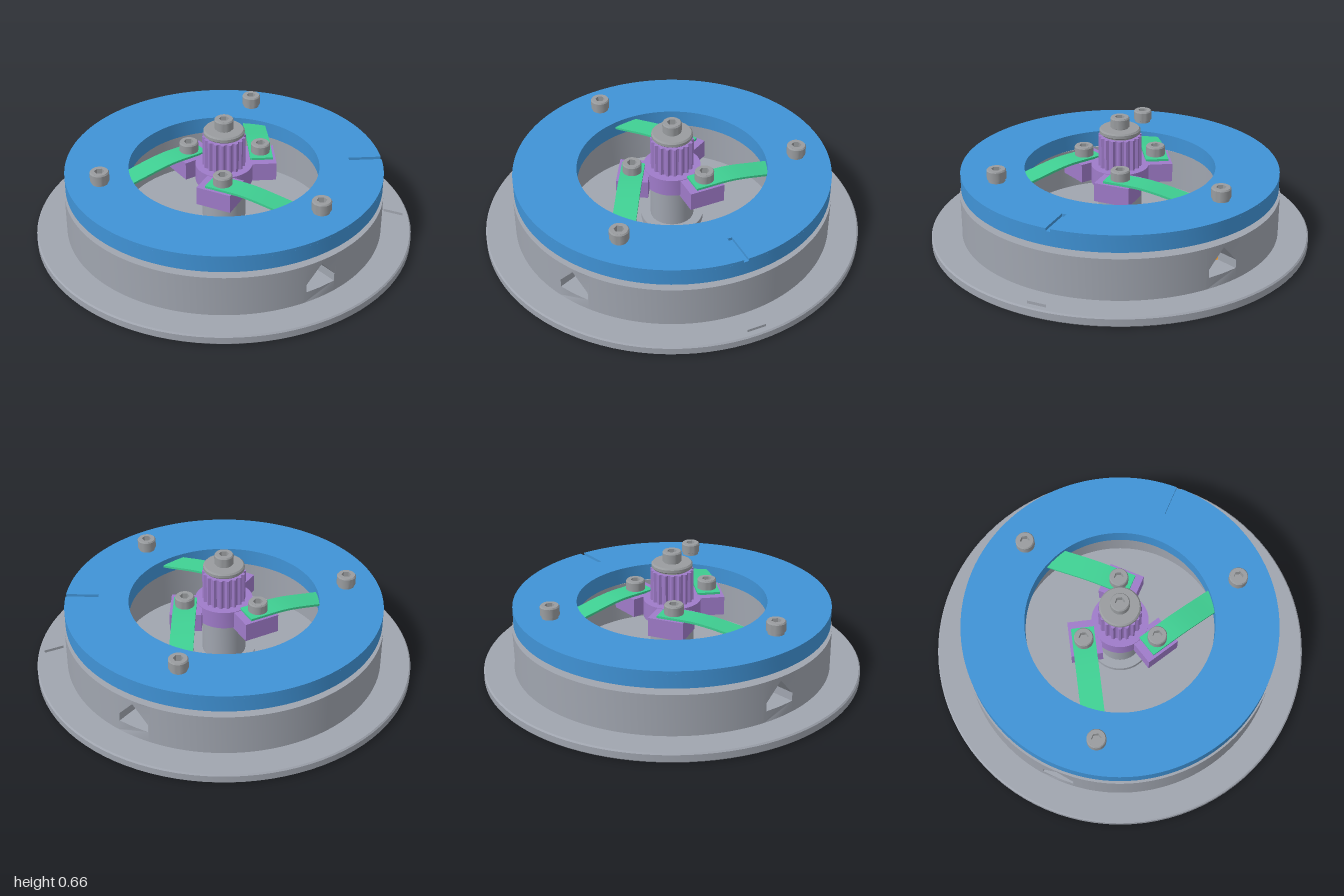
import * as THREE from 'three';
import { toCreasedNormals } from 'three/addons/utils/BufferGeometryUtils.js';

const paint = (name, color) => Object.assign(new THREE.MeshStandardMaterial({ color }), { name });
const TAU = Math.PI * 2;

export function createModel() {
  const model = new THREE.Group();
  model.name = 'springRingAssembly';
  const grey = paint('housing grey', 0xa0a5af);
  const steel = paint('steel grey', 0x999c9f);
  const blue = paint('ring blue', 0x4093d6);
  const purple = paint('hub purple', 0x9f7bc9);
  const green = paint('spring green', 0x3fcf92);
  const orange = paint('coil orange', 0xe8962c);

  const add = (name, geo, mat, parent = model) => {
    const mesh = new THREE.Mesh(geo, mat);
    mesh.name = name;
    parent.add(mesh);
    return mesh;
  };
  // Solid turned from [radius, y] pairs listed bottom to top
  const turned = (pts, sides = 64) =>
    toCreasedNormals(new THREE.LatheGeometry(pts.map(p => new THREE.Vector2(...p)), sides), 0.5);
  // Plan outline raised from y0 to y1
  const raised = (shape, y0, y1, curveSegments = 64) => {
    const g = new THREE.ExtrudeGeometry(shape, { depth: y1 - y0, bevelEnabled: false, curveSegments });
    return toCreasedNormals(g.rotateX(-Math.PI / 2).translate(0, y0, 0), 0.5);
  };
  const circle = r => new THREE.Shape().absarc(0, 0, r, 0, TAU, false);
  const hole = r => new THREE.Path().absarc(0, 0, r, 0, TAU, true);
  const annulus = (outer, inner) => {
    const s = circle(outer);
    s.holes.push(hole(inner));
    return s;
  };
  const polygon = (n, radius) => Array.from({ length: n }, (_, i) => {
    const a = i / n * TAU, r = radius(i);
    return new THREE.Vector2(r * Math.cos(a), r * Math.sin(a));
  });

  // Base plate with pointer
  add('basePlate', turned([[0, 0], [0.993, 0], [1, 0.007], [1, 0.043], [0.993, 0.05], [0, 0.05]], 96), grey);
  const pointer = new THREE.Shape([[0.87, 0], [0.965, -0.05], [0.965, 0.05]].map(p => new THREE.Vector2(...p)));
  add('pointer', raised(pointer, 0.05, 0.065), grey);

  // Outer wall: three arcs joined by blocks with gabled windows
  const R = 0.84, THICK = 0.12, HALF = 0.1, top = 0.27, gap = HALF / R;
  const stops = [-0.1, -0.085, -0.0425, 0, 0.0425, 0.085, 0.1];
  const face = new THREE.Shape([
    ...stops.map(x => new THREE.Vector2(x, 0.05)),
    ...[...stops].reverse().map(x => new THREE.Vector2(x, top)),
  ]);
  face.holes.push(new THREE.Path([[-0.085, 0.11], [-0.085, 0.155], [0, 0.25], [0.085, 0.155], [0.085, 0.11], [0, 0.11]]
    .map(p => new THREE.Vector2(...p))));
  const windowGeo = new THREE.ExtrudeGeometry(face, { depth: THICK, bevelEnabled: false });
  const pos = windowGeo.attributes.position;
  for (let i = 0; i < pos.count; i++) {
    const a = pos.getX(i) / R, r = R - THICK + pos.getZ(i);
    pos.setXYZ(i, r * Math.sin(a), pos.getY(i), r * Math.cos(a));
  }
  windowGeo.computeVertexNormals();
  const windowSmooth = toCreasedNormals(windowGeo, 0.4);
  const arc = new THREE.Shape();
  arc.absarc(0, 0, R, gap, TAU / 3 - gap, false);
  arc.absarc(0, 0, R - THICK, TAU / 3 - gap, gap, true);
  const arcGeo = raised(arc, 0.05, top, 48);
  for (let i = 0; i < 3; i++) {
    add('wallWindow', windowSmooth, grey).rotation.y = Math.PI / 6 + i * TAU / 3;
    add('wallArc', arcGeo, grey).rotation.y = Math.PI / 3 + i * TAU / 3;
  }
  // Ribbed coil behind the windows, and the inner wall
  const ribs = [];
  for (let i = 0; i <= 18; i++) ribs.push([i % 2 ? 0.72 : 0.705, 0.07 + i * 0.0105]);
  add('coil', turned(ribs, 72), orange);
  add('innerWall', raised(annulus(0.7, 0.56), 0.05, top), grey);
  add('wallCap', raised(annulus(0.722, 0.698), 0.262, top), grey);

  // Floating ring with an index groove in its top
  add('ringBody', raised(annulus(0.833, 0.5), 0.3, 0.375), blue);
  const grooved = new THREE.Shape();
  grooved.absarc(0, 0, 0.833, 0.015, TAU - 0.015, false);
  grooved.lineTo(0.66, -0.0125);
  grooved.lineTo(0.66, 0.0125);
  grooved.holes.push(hole(0.5));
  add('ringTop', raised(grooved, 0.375, 0.39), blue);

  // Central shaft, collar, fluted knob, washer
  add('shaftFlange', turned([[0, 0.05], [0.165, 0.05], [0.165, 0.08], [0, 0.08]]), grey);
  add('shaft', turned([[0, 0.08], [0.115, 0.08], [0.115, 0.31], [0, 0.31]]), grey);
  add('collar', turned([[0, 0.3], [0.15, 0.3], [0.15, 0.395], [0, 0.395]]), purple);
  const flutes = new THREE.Shape(polygon(72, i => (i % 4 < 2 ? 0.113 : 0.101)));
  add('knob', raised(flutes, 0.395, 0.56), purple);
  add('washer', turned([[0, 0.555], [0.085, 0.555], [0.085, 0.57], [0.1, 0.57], [0.107, 0.577],
    [0.107, 0.592], [0.1, 0.6], [0, 0.6]]), steel);

  // Socket-head screws
  const socketTop = circle(0.045);
  socketTop.holes.push(new THREE.Path(polygon(6, () => 0.026).reverse()));
  const headTop = raised(socketTop, 0.035, 0.07, 24);
  const headBody = turned([[0, 0], [0.043, 0], [0.043, 0.015], [0.05, 0.018], [0.05, 0.063], [0.045, 0.07],
    [0.044, 0.07], [0.044, 0.035], [0, 0.035]], 32);
  const screw = (name, x, y, z, parent) => {
    const g = new THREE.Group();
    g.name = name;
    g.position.set(x, y, z);
    add('screwHead', headBody, steel, g);
    add('screwSocket', headTop, steel, g);
    parent.add(g);
  };
  screw('centreScrew', 0, 0.59, 0, model);

  // Three spring arms linking the hub to the ring
  const springGeo = new THREE.BoxGeometry(0.12, 0.012, 0.58, 1, 1, 16).translate(0.2, 0, -0.31);
  const sp = springGeo.attributes.position;
  for (let i = 0; i < sp.count; i++) {
    const t = Math.max(0, (-sp.getZ(i) - 0.17) / 0.43);
    sp.setY(i, sp.getY(i) + 0.398 - 0.055 * t * t * (3 - 2 * t));
  }
  springGeo.computeVertexNormals();
  for (let i = 0; i < 3; i++) {
    const arm = new THREE.Group();
    arm.name = 'springArm';
    arm.rotation.y = i * TAU / 3;
    add('armBlock', new THREE.BoxGeometry(0.165, 0.1, 0.19).translate(0.1925, 0.342, -0.073), purple, arm);
    add('leafSpring', springGeo, green, arm);
    screw('hubScrew', 0.2, 0.388, -0.09, arm);
    screw('ringScrew', 0.2, 0.388, -0.63, arm);
    model.add(arm);
  }
  return model;
}
